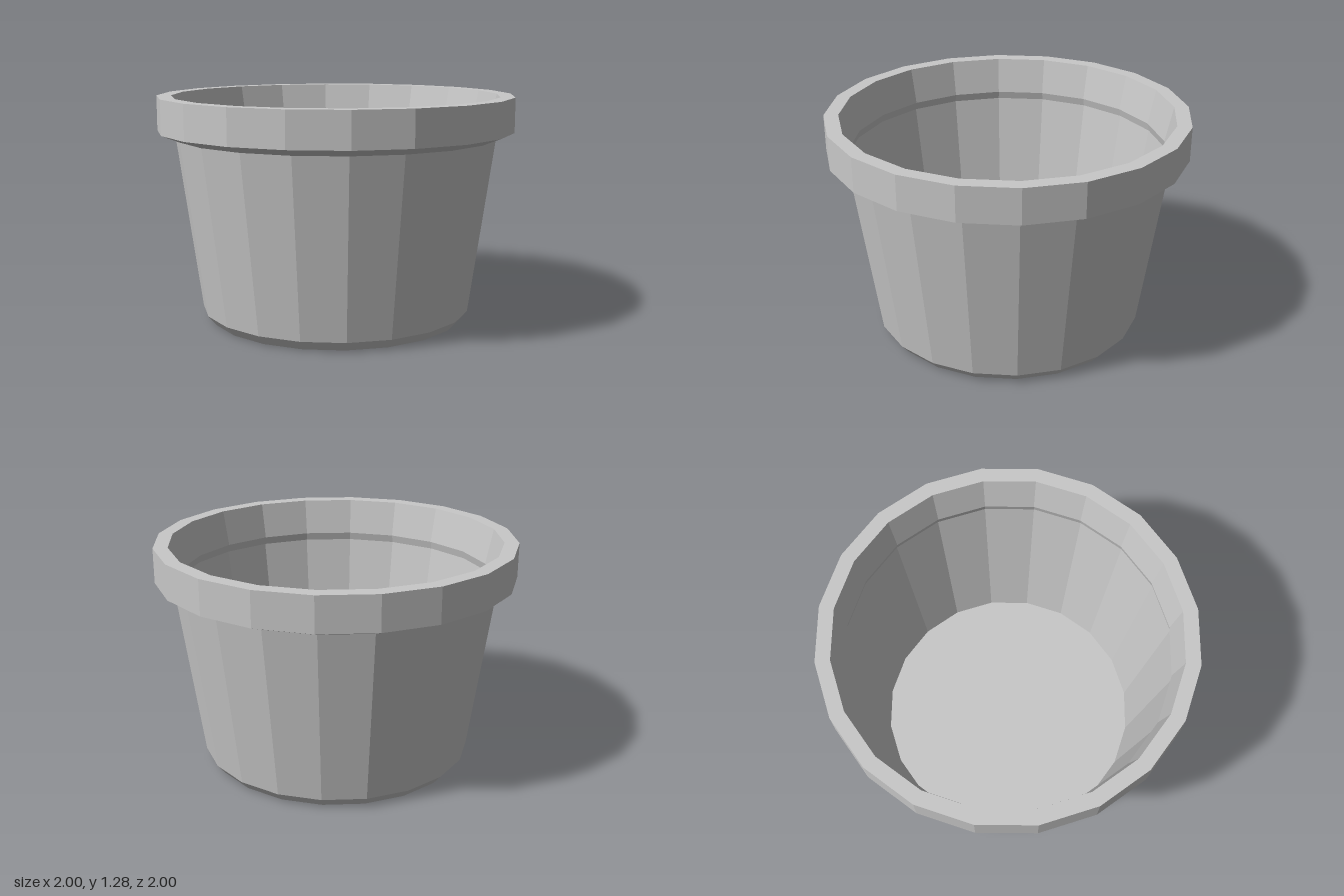
import * as THREE from 'three';

const SIDES = 20;

// Revolves a [flat-side radius, height] profile into a 20-sided faceted shell
function facetedShell(name, profile, material) {
  const toCorner = 1 / Math.cos(Math.PI / SIDES);
  const points = profile.map(([r, y]) => new THREE.Vector2(r * toCorner, y));
  const mesh = new THREE.Mesh(new THREE.LatheGeometry(points, SIDES, Math.PI / SIDES), material);
  mesh.name = name;
  return mesh;
}

export function createModel() {
  const pot = new THREE.Group();
  pot.name = 'flowerPot';
  const grey = new THREE.MeshStandardMaterial({ color: 0xc8c8c8, flatShading: true });
  grey.name = 'potGrey';

  pot.add(
    // Base with bevelled foot and tapered outer wall
    facetedShell('outerWall', [[0, 0], [0.72, 0], [0.765, 0.055], [0.9, 1.045]], grey),
    // Thick collar: sloped underside, upright band, flat lip, inner slope and undercut
    facetedShell('rim', [[0.9, 1.045], [1, 1.085], [1, 1.28], [0.92, 1.28], [0.878, 1.075], [0.888, 1.03]], grey),
    // Hollow interior down to the floor
    facetedShell('innerWall', [[0.888, 1.03], [0.74, 0.05], [0, 0.05]], grey)
  );
  return pot;
}
